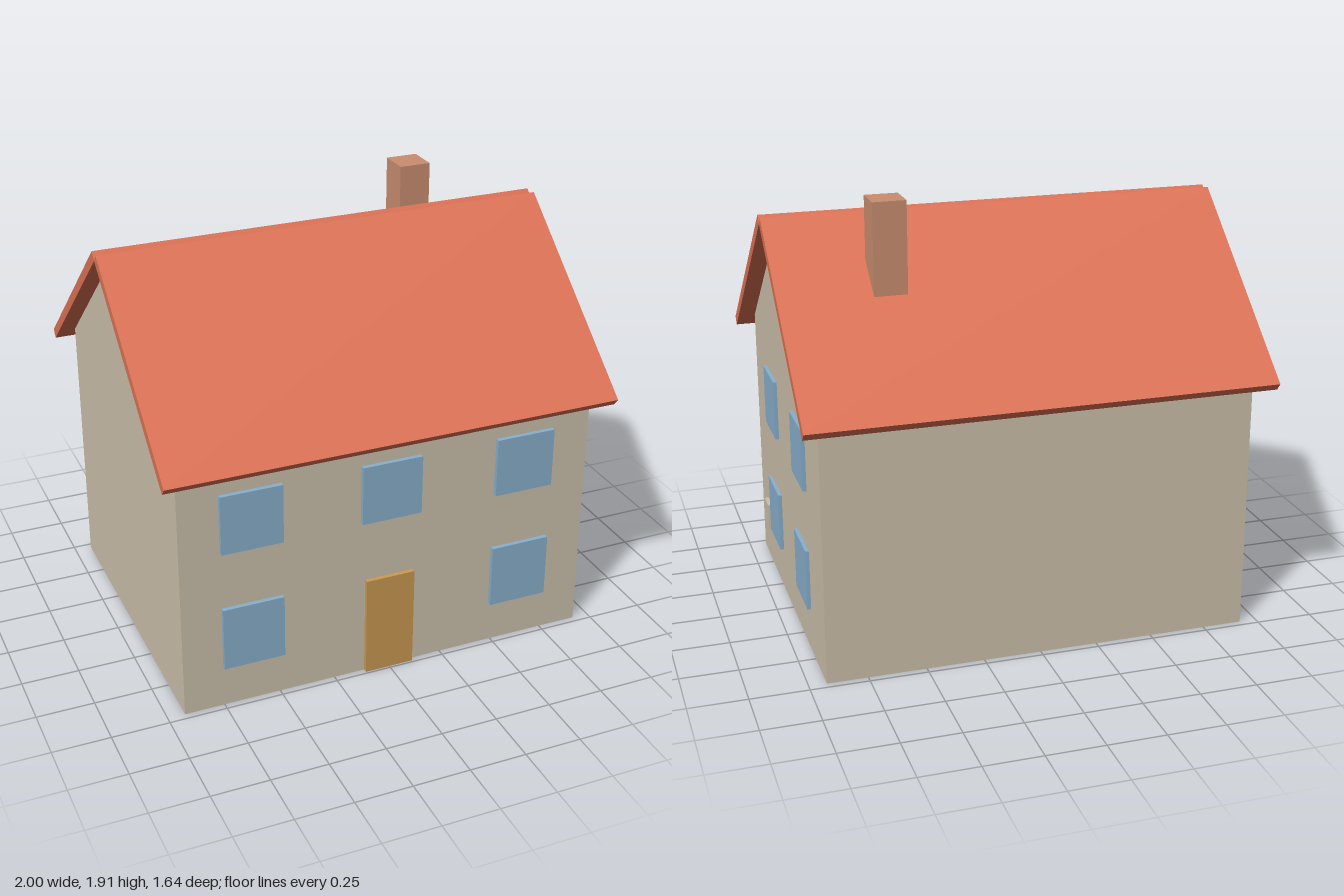
import * as THREE from 'three';

const mat = (name, color) => {
  const m = new THREE.MeshStandardMaterial({ color });
  m.name = name;
  return m;
};

export function createModel() {
  const house = new THREE.Group();
  house.name = 'house';

  const wall = mat('wall beige', 0xccc0ab);
  const roof = mat('roof red', 0xdd7255);
  const glass = mat('window blue', 0x88b0cd);
  const wood = mat('door ochre', 0xca9a52);
  const brick = mat('chimney brick', 0xca8e70);

  const add = (name, geometry, material) => {
    const mesh = new THREE.Mesh(geometry, material);
    mesh.name = name;
    house.add(mesh);
  };
  // Box given by its limits on each axis
  const box = (name, material, [x0, x1], [y0, y1], [z0, z1]) => {
    const g = new THREE.BoxGeometry(x1 - x0, y1 - y0, z1 - z0);
    g.translate((x0 + x1) / 2, (y0 + y1) / 2, (z0 + z1) / 2);
    add(name, g, material);
  };
  // Prism along x from a [z, y] profile
  const prism = (name, material, profile, halfLength) => {
    const shape = new THREE.Shape(profile.map(([z, y]) => new THREE.Vector2(-z, y)));
    const g = new THREE.ExtrudeGeometry(shape, { depth: halfLength * 2, bevelEnabled: false });
    g.translate(0, 0, -halfLength);
    g.rotateY(Math.PI / 2);
    add(name, g, material);
  };

  const W = 0.925, D = 0.72, ridge = 1.765, eave = 1.167;

  // Walls with gable ends
  prism('walls', wall, [[-D, 0], [D, 0], [D, eave], [0, ridge], [-D, eave]], W);

  // Two roof slabs meeting at their lower ridge edges
  for (const s of [1, -1]) {
    prism(s > 0 ? 'frontRoof' : 'backRoof', roof,
      [[0, ridge], [0.795 * s, 1.1], [0.822 * s, 1.132], [0.028 * s, 1.797]], 1);
  }

  box('chimney', brick, [0.463, 0.605], [1.45, 1.907], [-0.362, -0.218]);

  // Front windows and door
  const front = [D - 0.01, D + 0.02];
  for (const x of [-0.617, 0, 0.617]) {
    box('frontWindow', glass, [x - 0.134, x + 0.134], [0.738, 1.003], front);
    if (x) box('frontWindow', glass, [x - 0.134, x + 0.134], [0.19, 0.476], front);
  }
  box('door', wood, [-0.111, 0.109], [0, 0.457], front);

  // Side windows and meter box
  for (const z of [0.313, -0.31]) {
    for (const y of [0.2, 0.737]) {
      box('sideWindow', glass, [W - 0.01, W + 0.016], [y, y + 0.267], [z - 0.123, z + 0.123]);
    }
  }
  box('meterBox', wall, [W - 0.01, W + 0.022], [0.19, 0.312], [0.453, 0.546]);

  return house;
}
